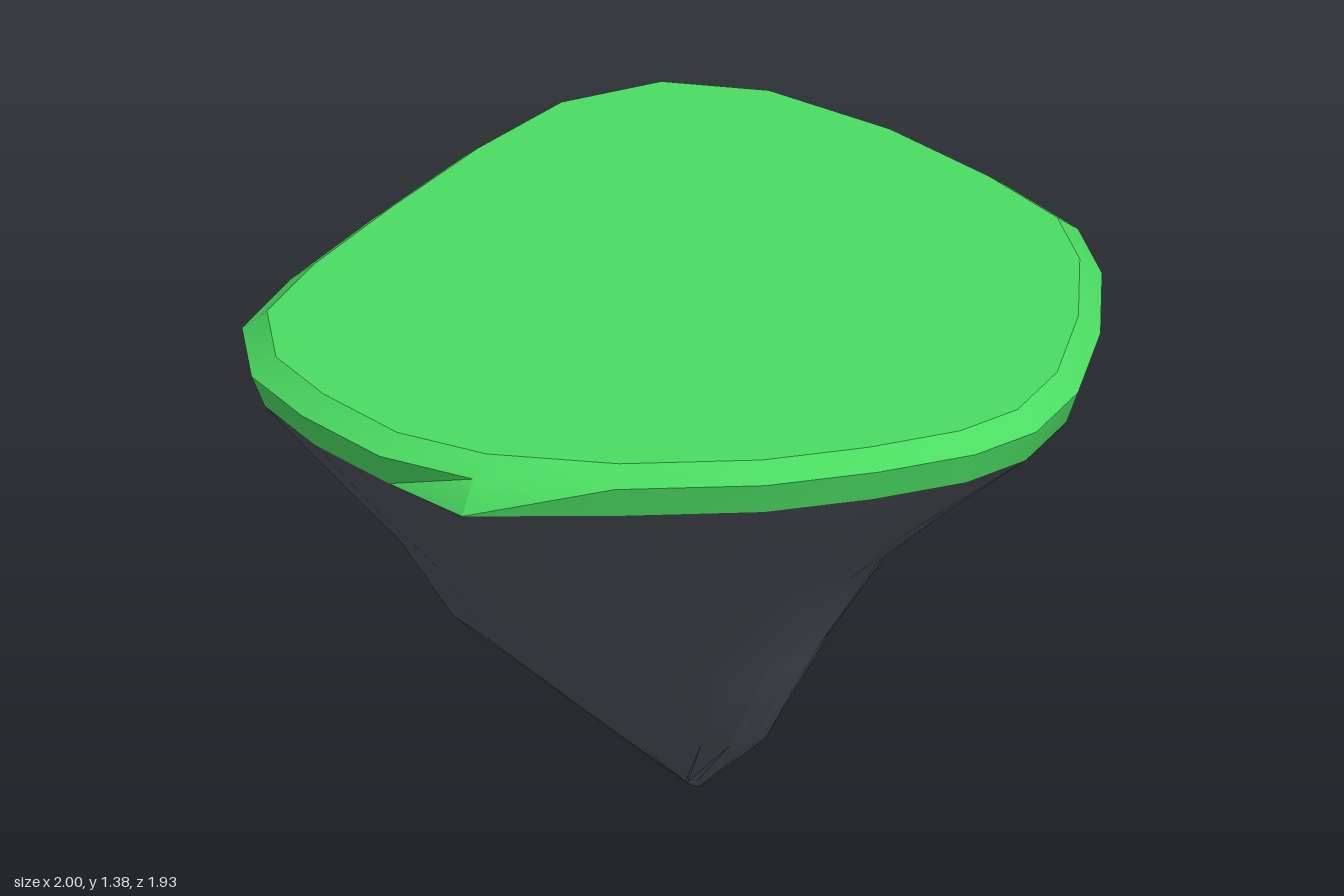
import * as THREE from 'three';
import { toCreasedNormals } from 'three/addons/utils/BufferGeometryUtils.js';

// Widest outline of the island as [x, z], counter-clockwise seen from above
const outline = [
  [0.15, 0.96], [0.36, 0.9], [0.61, 0.74], [0.83, 0.54], [0.95, 0.35], [0.99, 0.08],
  [1, -0.27], [0.94, -0.63], [0.79, -0.86], [0.54, -0.97], [0.22, -0.96], [-0.15, -0.91],
  [-0.5, -0.85], [-0.76, -0.77], [-0.92, -0.59], [-0.98, -0.37], [-1, -0.1], [-0.93, 0.14],
  [-0.74, 0.42], [-0.48, 0.67], [-0.25, 0.82], [-0.03, 0.93],
];
const tip = [0.1, -0.13];

// Rock levels: height and radii about the tip at E, SE, S, SW, W, NW, N, NE
const levels = [
  [0.0, [0.01, 0.015, 0.05, 0.01, 0.01, 0.01, 0.04, 0.015]],
  [0.2, [0.27, 0.15, 0.25, 0.18, 0.18, 0.24, 0.2, 0.3]],
  [0.5, [0.4, 0.34, 0.41, 0.42, 0.43, 0.57, 0.37, 0.43]],
  [0.8, [0.55, 0.51, 0.6, 0.62, 0.7, 0.73, 0.54, 0.59]],
  [1.0, [0.69, 0.7, 0.8, 0.79, 0.87, 0.88, 0.65, 0.78]],
];

// Outline scaled inwards at a given height
const rim = (y, s) => outline.map(([x, z]) => new THREE.Vector3(x * s, y, z * s));

// Smooth periodic interpolation of eight radii
function radiusAt(radii, angle) {
  const t = ((angle / (Math.PI * 2) + 1) % 1) * 8;
  const i = Math.floor(t), f = t - i;
  const [a, b, c, d] = [-1, 0, 1, 2].map((k) => radii[(i + k + 8) % 8]);
  return b + 0.5 * f * (c - a + f * (2 * a - 5 * b + 4 * c - d + f * (3 * (b - c) + d - a)));
}

const rockRing = ([y, radii]) => outline.map(([x, z]) => {
  const angle = Math.atan2(z - tip[1], x - tip[0]);
  const r = radiusAt(radii, angle);
  return new THREE.Vector3(tip[0] + r * Math.cos(angle), y, tip[1] + r * Math.sin(angle));
});

// Skin over rings from bottom to top, with optional flat caps
function loft(rings, { top = false, bottom = false }, crease) {
  const n = outline.length, points = rings.flat(), index = [];
  for (let i = 0; i < rings.length - 1; i++) {
    for (let j = 0; j < n; j++) {
      const a = i * n + j, b = i * n + (j + 1) % n;
      index.push(a, b, b + n, a, b + n, a + n);
    }
  }
  const cap = (ring, start, up) => {
    const centre = new THREE.Vector3();
    ring.forEach((p) => centre.addScaledVector(p, 1 / n));
    const c = points.push(centre) - 1;
    for (let j = 0; j < n; j++) {
      const a = start + j, b = start + (j + 1) % n;
      index.push(c, up ? a : b, up ? b : a);
    }
  };
  if (bottom) cap(rings[0], 0, false);
  if (top) cap(rings[rings.length - 1], (rings.length - 1) * n, true);
  const geometry = new THREE.BufferGeometry().setFromPoints(points);
  geometry.setIndex(index);
  return toCreasedNormals(geometry, crease);
}

export function createModel() {
  const group = new THREE.Group();
  group.name = 'floatingIsland';
  const add = (name, geometry, color) => {
    const mesh = new THREE.Mesh(geometry, new THREE.MeshStandardMaterial({ color }));
    mesh.name = name;
    group.add(mesh);
  };

  // Lower lip shared by grass and rock, with a small spur on one side
  const lip = rim(1.245, 0.97);
  lip[17].set(-0.97, 1.245, 0.14);

  // Tapering rock underside
  add('rock', loft([...levels.map(rockRing), lip], { bottom: true }, 0.6), 0x50545c);

  // Grass slab with a bevelled upper edge
  add('grass', loft([lip, rim(1.33, 1), rim(1.375, 0.945)], { top: true }, 0.5), 0x4bdc62);

  return group;
}
